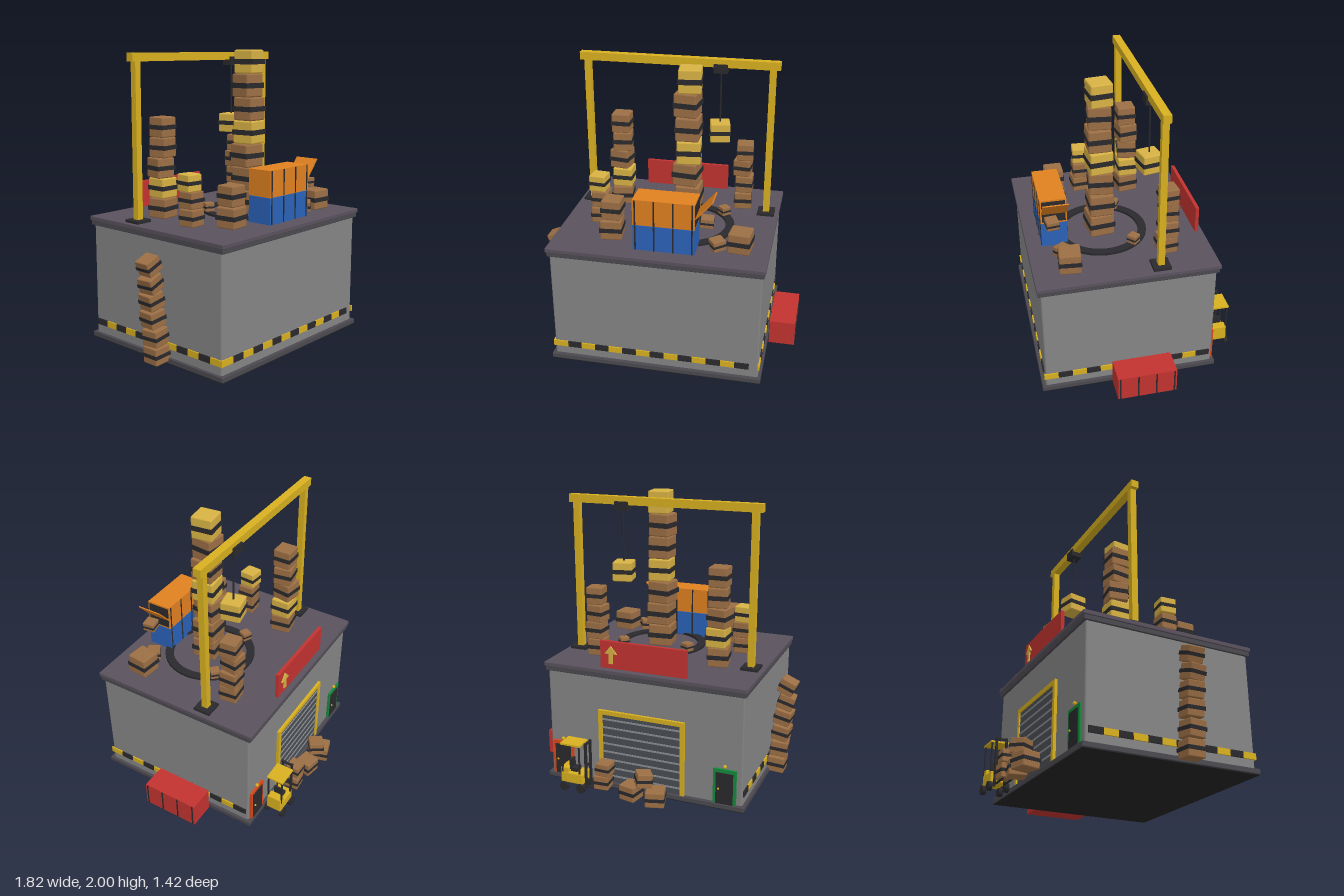
import * as THREE from 'three';
import { RoundedBoxGeometry } from 'three/addons/geometries/RoundedBoxGeometry.js';

const mat = (color) => new THREE.MeshStandardMaterial({ color });
const M = {
  wall: mat(0x858585), roof: mat(0x5a525e), base: mat(0x4b494f), under: mat(0x242426),
  dark: mat(0x2a2a2e), yellow: mat(0xd8b020), brown: mat(0x9c6f45), tan: mat(0xd8b244),
  orange: mat(0xe08020), blue: mat(0x2a62b8), red: mat(0xc23330), green: mat(0x168a3c),
  shutter: mat(0x4a4d52), slat: mat(0x8a8d92), doorRed: mat(0xd8481c),
};

export function createModel() {
  const root = new THREE.Group();

  const add = (name, geo, m, x, y, z, parent = root) => {
    const mesh = new THREE.Mesh(geo, m);
    mesh.name = name;
    mesh.position.set(x, y, z);
    parent.add(mesh);
    return mesh;
  };
  const box = (name, m, w, h, d, x, y, z, parent) =>
    add(name, new THREE.BoxGeometry(w, h, d), m, x, y, z, parent);
  const rbox = (name, m, w, h, d, r, x, y, z, parent) =>
    add(name, new RoundedBoxGeometry(w, h, d, 1, r), m, x, y, z, parent);
  const group = (name, x = 0, y = 0, z = 0, parent = root) => {
    const g = new THREE.Group();
    g.name = name;
    g.position.set(x, y, z);
    parent.add(g);
    return g;
  };

  // Crate with a dark strap, centred on (x, y, z)
  const crate = (m, w, h, x, y, z, ry = 0, rz = 0, parent = root, rx = 0) => {
    const g = group('crate', x, y, z, parent);
    g.rotation.set(rx, ry, rz);
    rbox('crateBody', m, w, h, w, w * 0.07, 0, 0, 0, g);
    box('crateStrap', M.dark, w * 1.05, h * 0.22, w * 1.05, 0, 0, 0, g);
    return g;
  };

  // Upright stack: y marks the code b = brown, t = tan from the bottom up
  const stack = (name, code, x, z, y0, y1, w0, w1, twist) => {
    const g = group(name, x, y0, z), h = (y1 - y0) / code.length;
    [...code].forEach((c, i) => {
      const w = w0 + (w1 - w0) * i / Math.max(1, code.length - 1);
      const dx = 0.008 * Math.sin(i * 2.3), dz = 0.006 * Math.cos(i * 1.7);
      crate(c === 't' ? M.tan : M.brown, w, h * 0.99, dx, h * (i + 0.5), dz, twist * Math.sin(i * 2.1 + 1), 0, g);
    });
  };

  // Warehouse block
  const cx = -0.01, cz = 0.09;
  box('underside', M.under, 1.45, 0.01, 1.22, cx, 0.005, cz);
  rbox('baseSlab', M.base, 1.46, 0.035, 1.23, 0.005, cx, 0.0225, cz);
  rbox('walls', M.wall, 1.42, 0.80, 1.18, 0.012, cx, 0.425, cz);
  rbox('roofLower', M.base, 1.445, 0.035, 1.215, 0.005, cx, 0.8275, cz);
  rbox('roofUpper', M.roof, 1.46, 0.03, 1.23, 0.005, cx, 0.858, cz);

  // Hazard stripes on the front and both sides
  const stripes = group('hazardStripes');
  for (let i = 0; i < 14; i++)
    box('stripe', i % 2 ? M.dark : M.yellow, 0.097, 0.042, 0.012, -0.672 + i * 0.097, 0.12, 0.683, stripes);
  for (const x of [0.703, -0.723])
    for (let i = 0; i < 12; i++)
      box('stripe', i % 2 ? M.dark : M.yellow, 0.012, 0.042, 0.0975, x, 0.12, 0.64 - i * 0.0975, stripes);

  // Loading shutter on the back
  const shutter = group('loadingShutter', 0, 0, -0.505);
  box('shutterPanel', M.shutter, 0.58, 0.51, 0.012, 0, 0.295, 0, shutter);
  for (let i = 0; i < 8; i++) box('slat', M.slat, 0.57, 0.012, 0.02, 0, 0.09 + i * 0.06, 0, shutter);
  for (const s of [-1, 1]) box('shutterJamb', M.yellow, 0.03, 0.53, 0.03, s * 0.3, 0.305, 0, shutter);
  box('shutterHead', M.yellow, 0.63, 0.03, 0.03, 0, 0.56, 0, shutter);

  // Two side doors on the back, each with a lamp
  for (const [x, m] of [[0.6, M.doorRed], [-0.6, M.green]]) {
    const d = group('sideDoor', x, 0, -0.505);
    box('doorFrame', m, 0.16, 0.25, 0.02, 0, 0.165, 0, d);
    box('doorPanel', M.dark, 0.12, 0.225, 0.03, 0, 0.153, 0, d);
    add('doorHandle', new THREE.SphereGeometry(0.008, 8, 6), M.yellow, 0.04, 0.15, -0.017, d);
    add('doorLamp', new THREE.SphereGeometry(0.013, 10, 8), M.yellow, 0, 0.31, -0.005, d);
  }

  // Roof sign board with an up arrow
  const sign = group('signBoard', -0.01, 0.972, -0.478);
  box('board', M.red, 0.62, 0.19, 0.024, 0, 0, 0, sign);
  const arrow = new THREE.Shape([[-0.014, -0.06], [0.014, -0.06], [0.014, 0.01], [0.045, 0.01],
    [0, 0.065], [-0.045, 0.01], [-0.014, 0.01]].map(([x, y]) => new THREE.Vector2(x, y)));
  add('arrow', new THREE.ExtrudeGeometry(arrow, { depth: 0.012, bevelEnabled: false }), M.tan, 0.23, 0, -0.022, sign);

  // Gantry crane
  const gantry = group('gantryCrane', -0.01, 0, -0.13);
  for (const s of [-1, 1]) {
    box('gantryFoot', M.dark, 0.12, 0.02, 0.12, s * 0.64, 0.882, 0, gantry);
    box('gantryPost', M.yellow, 0.044, 1.05, 0.044, s * 0.64, 1.41, 0, gantry);
  }
  box('gantryBeam', M.yellow, 1.38, 0.055, 0.054, 0, 1.955, 0, gantry);
  box('trolley', M.dark, 0.096, 0.06, 0.08, 0.292, 1.92, 0, gantry);
  add('cable', new THREE.CylinderGeometry(0.006, 0.006, 0.36, 8), M.dark, 0.292, 1.715, 0, gantry);
  crate(M.tan, 0.137, 0.135, 0.292, 1.473, 0, 0.2, 0, gantry);

  // Flat conveyor ring around the central stack
  const ring = new THREE.Shape().absarc(0, 0, 0.32, 0, Math.PI * 2);
  ring.holes.push(new THREE.Path().absarc(0, 0, 0.262, 0, Math.PI * 2, true));
  add('conveyorRing', new THREE.ExtrudeGeometry(ring, { depth: 0.02, bevelEnabled: false, curveSegments: 24 }),
    M.dark, 0.12, 0.87, 0.17).rotation.x = -Math.PI / 2;
  crate(M.brown, 0.066, 0.06, -0.13, 0.92, 0.025, -0.45);
  crate(M.brown, 0.066, 0.06, 0.345, 0.92, -0.015, 0.75);

  // Crate stacks on the roof
  stack('centralStack', 'bbbtbbt', 0.12, 0.172, 0.873, 2.0, 0.17, 0.15, 0.13);
  stack('tallLeftStack', 'btbbb', -0.42, -0.135, 0.873, 1.56, 0.142, 0.128, 0.18);
  stack('smallLeftStack', 'bbt', -0.492, 0.205, 0.873, 1.218, 0.118, 0.114, 0.1);
  stack('frontLeftStack', 'bb', -0.35, 0.425, 0.873, 1.152, 0.145, 0.13, 0.12);
  stack('rightStack', 'bbbb', 0.45, -0.22, 0.873, 1.366, 0.122, 0.116, 0.12);
  stack('singleCrate', 'b', 0.525, 0.45, 0.873, 1.016, 0.145, 0.145, -0.12);

  // Shipping container, long along x, with dark ribs
  const container = (name, m, len, h, d, x, y, z, ry = 0) => {
    const g = group(name, x, y, z);
    g.rotation.y = ry;
    box('containerBody', m, len, h, d, 0, 0, 0, g);
    for (let i = 0; i < 4; i++)
      box('containerRib', M.dark, 0.01, h * 0.98, d + 0.006, (i / 3 - 0.5) * len * 0.92, 0, 0, g);
    return g;
  };
  container('blueContainer', M.blue, 0.41, 0.178, 0.18, 0.04, 0.967, 0.51);
  const top = container('orangeContainer', M.orange, 0.41, 0.178, 0.18, 0.04, 1.147, 0.51);
  box('containerOpening', M.dark, 0.006, 0.155, 0.16, 0.204, 0, 0, top);
  container('redContainer', M.red, 0.41, 0.178, 0.182, 0.818, 0.099, 0.015, Math.PI / 2);

  // Open flap and the crates that spilled out
  box('containerFlap', M.orange, 0.165, 0.008, 0.172, 0.302, 1.197, 0.508).rotation.z = 0.85;
  crate(M.brown, 0.085, 0.065, 0.315, 1.1, 0.535, 0.12, -0.08);
  crate(M.brown, 0.09, 0.075, 0.375, 0.913, 0.478, 0.6, 0.1);

  // Leaning stack against the left wall, bending outwards as it rises
  const lean = group('leaningStack', 0, 0, 0.172);
  [[-0.785, 0.072, 0.06], [-0.797, 0.196, 0.1], [-0.81, 0.32, 0.14],
    [-0.82, 0.44, 0.2], [-0.832, 0.556, 0.32], [-0.84, 0.672, 0.4]].forEach(([x, y, rz], i) =>
    crate(M.brown, 0.123 - i * 0.002, 0.115 - i * 0.002, x, y, 0.004 * Math.sin(i * 2), 0.1 * Math.sin(i * 1.9), rz, lean));

  // Crate pile on the ground behind the shutter
  const pile = group('cratePile');
  crate(M.brown, 0.13, 0.11, -0.155, 0.065, -0.63, 0.28, 0, pile);
  crate(M.brown, 0.12, 0.11, 0.03, 0.065, -0.615, -0.2, 0, pile);
  crate(M.brown, 0.105, 0.1, -0.07, 0.18, -0.63, 0.6, 0.1, pile);

  // Forklift, facing -x
  const lift = group('forklift', 0.45, 0, -0.612);
  rbox('liftBody', M.yellow, 0.17, 0.08, 0.115, 0.01, 0.005, 0.1, 0, lift);
  rbox('counterweight', M.yellow, 0.06, 0.05, 0.11, 0.008, 0.06, 0.15, 0, lift);
  box('seat', M.dark, 0.05, 0.03, 0.06, 0.0, 0.152, 0, lift);
  box('seatBack', M.dark, 0.015, 0.07, 0.06, 0.025, 0.19, 0, lift);
  box('overheadGuard', M.yellow, 0.15, 0.012, 0.125, 0.01, 0.35, 0, lift);
  for (const s of [-1, 1]) {
    for (const x of [-0.065, 0.06]) {
      const w = add('wheel', new THREE.CylinderGeometry(0.032, 0.032, 0.028, 14), M.dark, x, 0.036, s * 0.059, lift);
      w.rotation.x = Math.PI / 2;
    }
    for (const x of [-0.055, 0.075]) box('guardPost', M.dark, 0.01, 0.21, 0.01, x, 0.245, s * 0.052, lift);
    box('mastRail', M.dark, 0.016, 0.34, 0.014, -0.096, 0.2, s * 0.035, lift);
    box('fork', M.dark, 0.15, 0.008, 0.014, -0.175, 0.045, s * 0.03, lift);
  }
  for (const y of [0.08, 0.2, 0.36]) box('mastBar', M.dark, 0.012, 0.014, 0.08, -0.096, y, 0, lift);
  crate(M.brown, 0.105, 0.1, -0.21, 0.1, 0, 0.06, 0, lift);
  crate(M.brown, 0.1, 0.09, -0.225, 0.197, 0, -0.04, 0, lift);

  return root;
}
